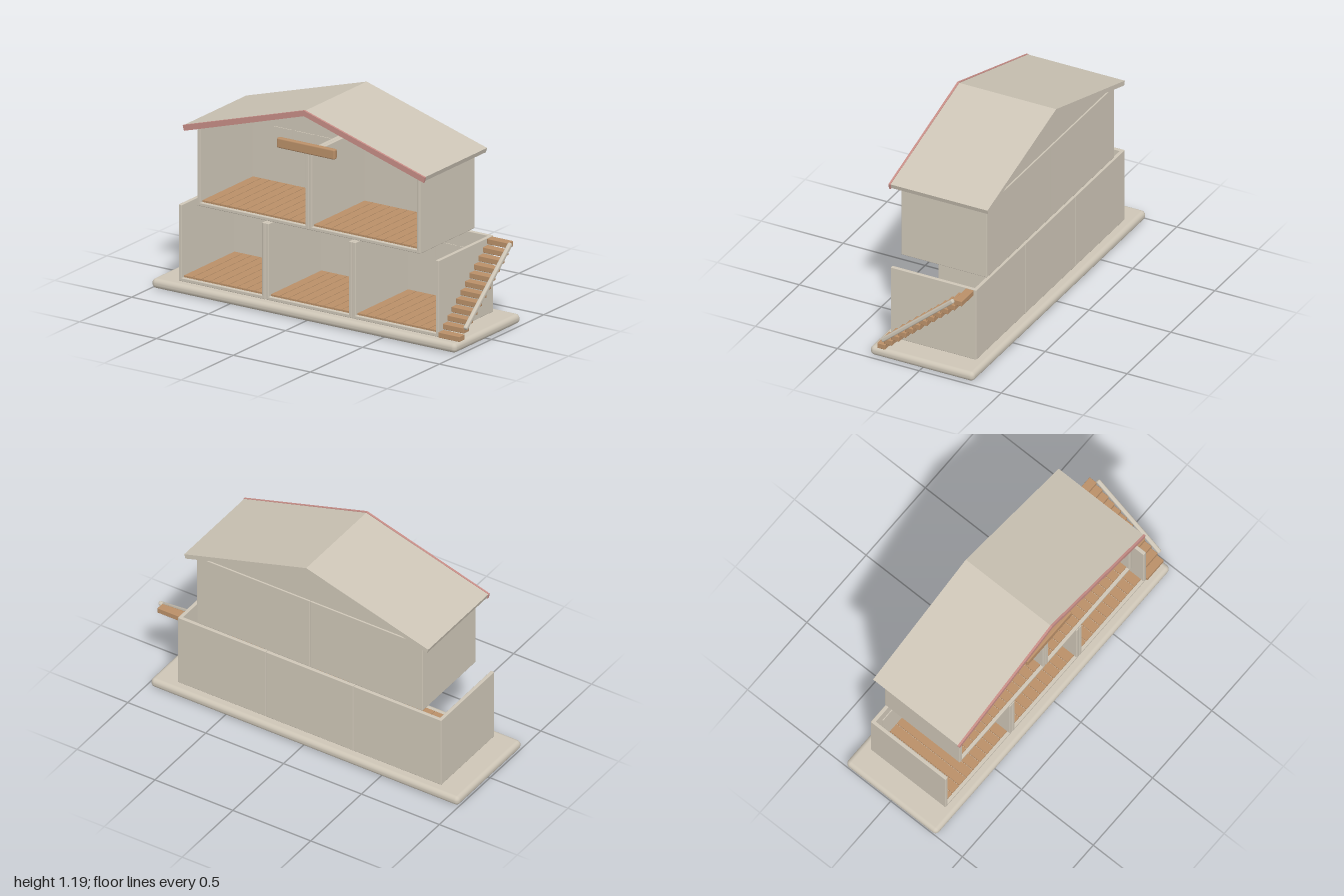
import * as THREE from 'three';
import { RoundedBoxGeometry } from 'three/addons/geometries/RoundedBoxGeometry.js';

const material = (name, color) => {
  const m = new THREE.MeshStandardMaterial({ color });
  m.name = name;
  return m;
};

export function createModel() {
  const plaster = material('plaster', 0xcdc5b6);
  const wood = material('wood', 0xb98f68);
  const trim = material('roof trim', 0xc68d86);
  const house = new THREE.Group();
  house.name = 'dollhouse';

  // Box given by its lower and upper corners, rounded when r > 0
  function box(parent, name, mat, [x0, y0, z0], [x1, y1, z1], r = 0) {
    const w = x1 - x0, h = y1 - y0, d = z1 - z0;
    const geo = r ? new RoundedBoxGeometry(w, h, d, 3, r) : new THREE.BoxGeometry(w, h, d);
    const mesh = new THREE.Mesh(geo, mat);
    mesh.position.set((x0 + x1) / 2, (y0 + y1) / 2, (z0 + z1) / 2);
    mesh.name = name;
    parent.add(mesh);
    return mesh;
  }

  function extrude(name, mat, points, z, depth) {
    const shape = new THREE.Shape(points.map(([x, y]) => new THREE.Vector2(x, y)));
    const mesh = new THREE.Mesh(new THREE.ExtrudeGeometry(shape, { depth, bevelEnabled: false }), mat);
    mesh.position.z = z;
    mesh.name = name;
    house.add(mesh);
  }

  // Room open at the front and top, with plank floor and three window panels
  const back = -0.26, front = 0.263, wall = 0.021;
  function room(name, x0, x1, y0, y1, planks, windowY) {
    const g = new THREE.Group();
    g.name = name;
    house.add(g);
    const r = 0.004;
    box(g, 'floorSlab', plaster, [x0, y0, back], [x1, y0 + 0.02, front], r);
    box(g, 'backWall', plaster, [x0, y0, back], [x1, y1, back + wall], r);
    box(g, 'rightWall', plaster, [x0, y0, back], [x0 + wall, y1, front], r);
    box(g, 'leftWall', plaster, [x1 - wall, y0, back], [x1, y1, front], r);
    const inner = x0 + wall, pitch = (x1 - x0 - 2 * wall) / planks;
    for (let i = 0; i < planks; i++) {
      const px = inner + i * pitch;
      box(g, 'floorPlank', wood, [px + 0.002, y0 + 0.018, back + wall],
        [px + pitch - 0.002, y0 + 0.03, 0.245]);
    }
    for (const k of [-1, 0, 1]) {
      const cx = (x0 + x1) / 2 + k * 0.145;
      box(g, 'windowPanel', plaster, [cx - 0.063, windowY - 0.046, back + wall - 0.002],
        [cx + 0.063, windowY + 0.046, back + wall + 0.005]);
    }
  }

  // Base
  box(house, 'base', plaster, [-1, 0, -0.317], [0.978, 0.055, 0.317], 0.025);

  // Ground floor and upper floor
  const lower = [-0.857, -0.292, 0.272, 0.837];
  for (let i = 0; i < 3; i++) {
    room('lowerRoom', lower[i] + 0.001, lower[i + 1] - 0.001, 0.054, 0.489, 9, 0.348);
  }
  const upper = [-0.737, -0.011, 0.715];
  for (let i = 0; i < 2; i++) {
    room('upperRoom', upper[i] + 0.001, upper[i + 1] - 0.001, 0.504, 0.947, 12, 0.8);
  }

  // Back gable, roof and its front trim
  const mid = -0.011;
  extrude('backGable', plaster, [[-0.736, 0.945], [0.714, 0.945], [mid, 1.166]], -0.253, 0.012);
  const chevron = (half, eaveTop, eaveLow, apexTop, apexLow) => [
    [mid - half + 0.008, eaveLow], [mid, apexLow], [mid + half - 0.008, eaveLow],
    [mid + half, eaveTop], [mid, apexTop], [mid - half, eaveTop],
  ];
  extrude('roof', plaster, chevron(0.783, 0.962, 0.936, 1.19, 1.164), -0.294, 0.591);
  extrude('roofTrim', trim, chevron(0.787, 0.962, 0.931, 1.194, 1.162), 0.297, 0.012);

  // Beam under the gable
  box(house, 'frontBeam', wood, [-0.199, 0.943, 0.263], [0.176, 1.0, 0.293], 0.008);

  // Outside stairs
  const steps = 12;
  for (let i = 0; i < steps; i++) {
    const t = i / (steps - 1), y = 0.055 + 0.4 * t, z = 0.222 - 0.468 * t;
    box(house, 'stairTread', wood, [0.837, y, z], [0.975, y + 0.031, z + 0.049], 0.003);
  }

  // Sloping handrail
  const a = new THREE.Vector2(0.228, 0.125), b = new THREE.Vector2(-0.196, 0.482);
  const len = a.distanceTo(b) + 0.014;
  const rail = new THREE.Mesh(new RoundedBoxGeometry(0.024, 0.024, len, 3, 0.008), plaster);
  rail.position.set(0.987, (a.y + b.y) / 2, (a.x + b.x) / 2);
  rail.rotation.x = Math.atan2(b.y - a.y, a.x - b.x);
  rail.name = 'handrail';
  house.add(rail);

  return house;
}
